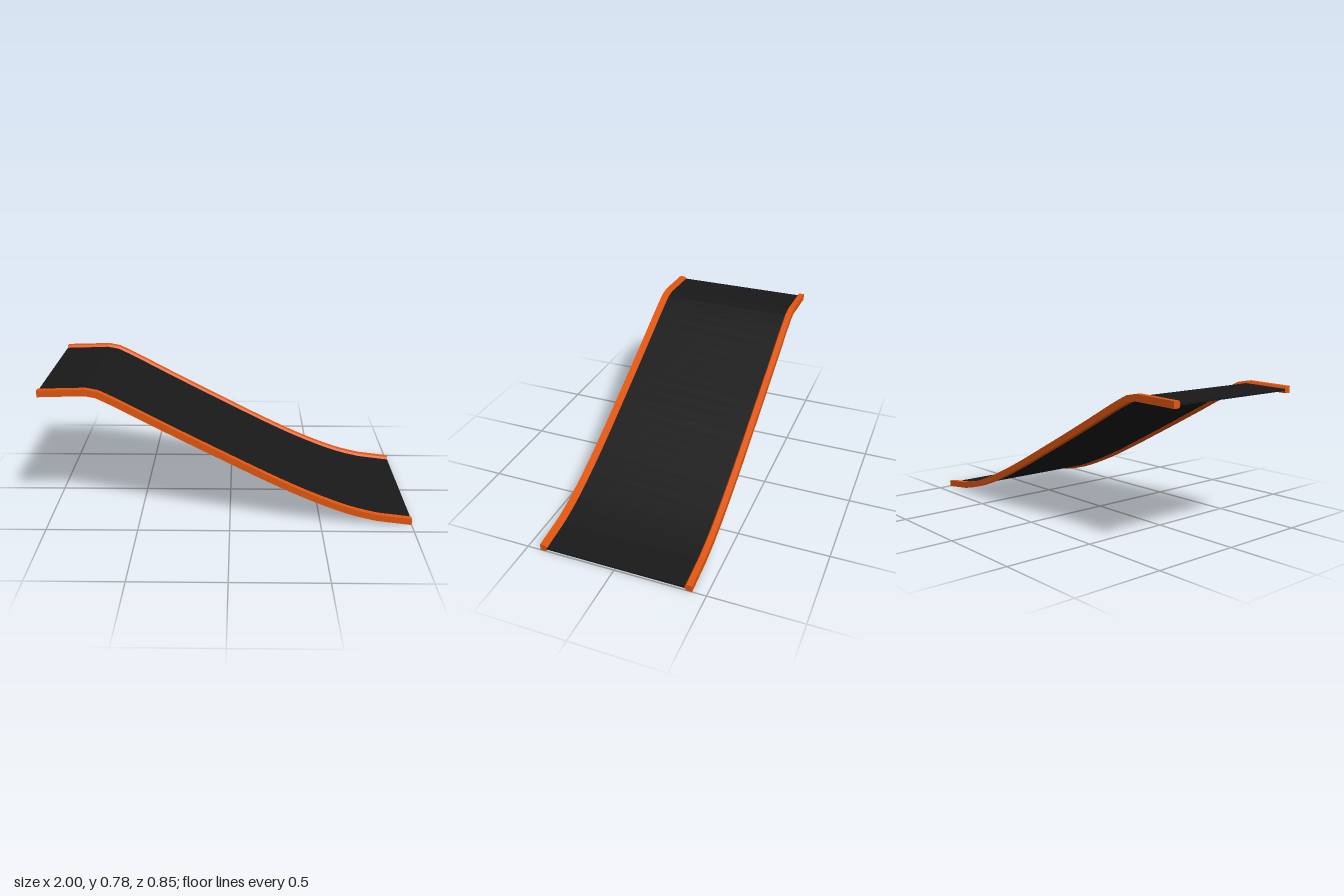
import * as THREE from 'three';

// Centre line of the slide, from the high platform down to the exit
function slidePath() {
  const slope = new THREE.CatmullRomCurve3([
    [-0.69, 0.754], [-0.6, 0.709], [-0.4, 0.6], [-0.2, 0.493], [0, 0.388],
    [0.2, 0.284], [0.4, 0.187], [0.6, 0.104], [0.7, 0.071], [0.81, 0.044],
  ].map(([x, y]) => new THREE.Vector3(x, y, 0)));
  return [
    new THREE.Vector3(-1, 0.759, 0), new THREE.Vector3(-0.75, 0.766, 0),
    ...slope.getPoints(27), new THREE.Vector3(1, 0.02, 0),
  ];
}

// Sweep a closed (z, height) section along the path; ends are cut vertically
function sweep(path, section) {
  const n = section.length, last = path.length - 1;
  const rings = path.map((p, i) => {
    const t = path[Math.min(i + 1, last)].clone().sub(path[Math.max(i - 1, 0)]).normalize();
    const end = i === 0 || i === last;
    return section.map(([z, h]) => (end
      ? [p.x, p.y + h / t.x, z]
      : [p.x - t.y * h, p.y + t.x * h, z]));
  });
  const pos = [];
  const tri = (a, b, c) => pos.push(...a, ...b, ...c);
  for (let i = 0; i < last; i++) {
    for (let j = 0; j < n; j++) {
      const k = (j + 1) % n;
      tri(rings[i][j], rings[i][k], rings[i + 1][j]);
      tri(rings[i][k], rings[i + 1][k], rings[i + 1][j]);
    }
  }
  // End caps
  for (let j = 1; j < n - 1; j++) {
    tri(rings[0][0], rings[0][j + 1], rings[0][j]);
    tri(rings[last][0], rings[last][j], rings[last][j + 1]);
  }
  const geo = new THREE.BufferGeometry();
  geo.setAttribute('position', new THREE.Float32BufferAttribute(pos, 3));
  geo.computeVertexNormals();
  return geo;
}

export function createModel() {
  const group = new THREE.Group();
  const path = slidePath();
  const orange = new THREE.MeshStandardMaterial({ color: 0xe2560f });
  const black = new THREE.MeshStandardMaterial({ color: 0x191919 });
  const add = (name, section, material) => {
    const mesh = new THREE.Mesh(sweep(path, section), material);
    mesh.name = name;
    group.add(mesh);
  };

  // Thin sliding surface between the rails
  const w = 0.388, t = 0.005;
  add('slideBed', [[w, -t], [-w, -t], [-w, t], [w, t]], black);

  // Side rails, bevelled on the inner edge
  const rail = [[0.425, -0.018], [0.425, 0.018], [0.393, 0.018],
    [0.385, 0.006], [0.385, -0.006], [0.393, -0.018]];
  add('frontRail', rail.slice().reverse(), orange);
  add('backRail', rail.map(([z, h]) => [-z, h]), orange);
  return group;
}
